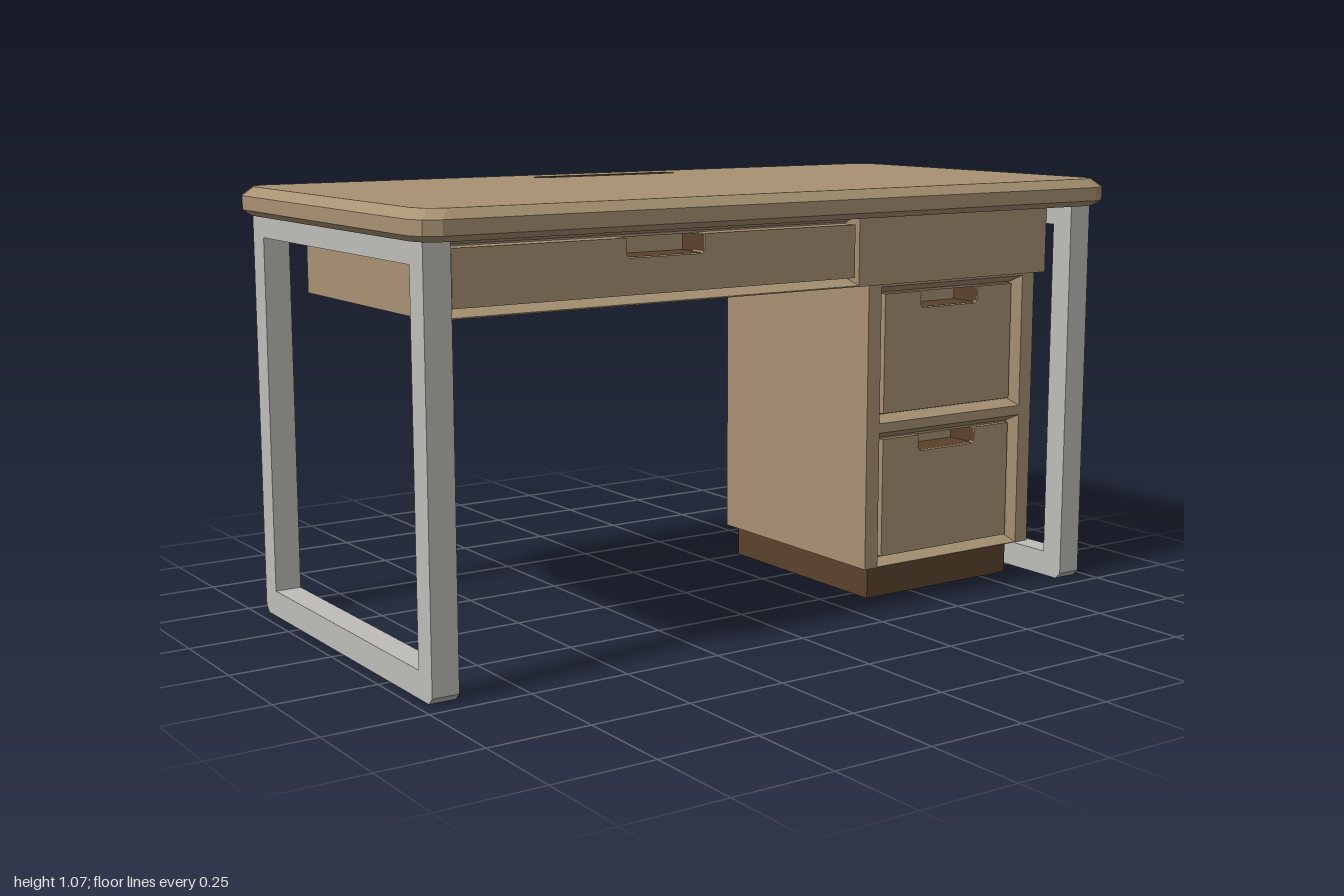
import * as THREE from 'three';

const wood = new THREE.MeshStandardMaterial({ color: 0xa89273 });
wood.name = 'light wood';
const brown = new THREE.MeshStandardMaterial({ color: 0x5a422b });
brown.name = 'dark brown';
const metal = new THREE.MeshStandardMaterial({ color: 0xbebdb9 });
metal.name = 'grey metal';

function add(parent, name, geometry, material) {
  const mesh = new THREE.Mesh(geometry, material);
  mesh.name = name;
  parent.add(mesh);
  return mesh;
}

// Box given by its limits on each axis
function box(x0, x1, y0, y1, z0, z1) {
  return new THREE.BoxGeometry(x1 - x0, y1 - y0, z1 - z0)
    .translate((x0 + x1) / 2, (y0 + y1) / 2, (z0 + z1) / 2);
}

// Counter-clockwise rectangle outline, optionally with rounded corners
function outline(x0, x1, y0, y1, r = 0, n = 0) {
  const pts = [];
  const centres = [[x1 - r, y1 - r], [x0 + r, y1 - r], [x0 + r, y0 + r], [x1 - r, y0 + r]];
  centres.forEach(([cx, cy], q) => {
    for (let i = 0; i <= n; i++) {
      const a = (q + (n ? i / n : 0)) * Math.PI / 2;
      pts.push(new THREE.Vector2(cx + r * Math.cos(a), cy + r * Math.sin(a)));
    }
  });
  return pts;
}

// Flat-faced wall joining outlines placed at successive z values
function loft(levels) {
  const pos = [];
  for (let k = 0; k + 1 < levels.length; k++) {
    const [a, za] = levels[k], [b, zb] = levels[k + 1];
    a.forEach((p, i) => {
      const j = (i + 1) % a.length;
      pos.push(p.x, p.y, za, a[j].x, a[j].y, za, b[j].x, b[j].y, zb);
      pos.push(p.x, p.y, za, b[j].x, b[j].y, zb, b[i].x, b[i].y, zb);
    });
  }
  const g = new THREE.BufferGeometry();
  g.setAttribute('position', new THREE.Float32BufferAttribute(pos, 3));
  g.computeVertexNormals();
  return g;
}

// Flat sheet facing +z with holes
function sheet(pts, holes, z) {
  const shape = new THREE.Shape(pts);
  holes.forEach(h => shape.holes.push(new THREE.Path(h)));
  return new THREE.ShapeGeometry(shape).translate(0, 0, z);
}

// Bevelled top with a cable slot
function makeDesktop() {
  const group = new THREE.Group();
  group.name = 'desktop';
  const ring = d => outline(-1 + d, 1 - d, -0.5 + d, 0.5 - d, 0.055, 2);
  const slot = s => outline(-0.217, 0.213, s > 0 ? 0.355 : -0.405, s > 0 ? 0.405 : -0.355, 0.018, 3);
  const up = g => g.rotateX(-Math.PI / 2);
  add(group, 'desktopEdge', up(loft([[ring(0.016), 1], [ring(0), 1.014], [ring(0), 1.048], [ring(0.022), 1.07]])), wood);
  add(group, 'desktopSurface', up(sheet(ring(0.022), [slot(1)], 1.07)), wood);
  add(group, 'desktopUnderside', up(sheet(ring(0.016), [slot(-1)], -1).rotateX(Math.PI)), wood);
  add(group, 'cableSlot', up(loft([[slot(1), 1.07], [slot(1), 1]])), brown);
  return group;
}

// Recessed drawer with a notched pull; o = opening, n = notch limits
function addDrawer(group, o, inset, n, z, panelZ) {
  const floorZ = z - 0.03, backZ = panelZ - 0.09;
  const inner = [o[0] + inset, o[1] - inset, o[2] + inset, o[3] - inset];
  const e = 0.008, t = 0.002;
  const [x0, x1, y0, y1] = [inner[0] + e, inner[1] - e, inner[2] + e * 0.5, inner[3] - e * 0.5];
  const pocket = outline(n[0] + t, n[1] - t, n[2] + t, y1 - t);
  add(group, 'drawerRecess', loft([[outline(...o), z], [outline(...inner), floorZ]]), wood);
  add(group, 'recessFloor', sheet(outline(...inner), [pocket], floorZ), wood);

  // Front panel cut out for the pull
  const c = 0.008;
  const panel = new THREE.Shape([
    [x0, y0], [x1, y0], [x1, y1], [n[1], y1], [n[1], n[2] + c], [n[1] - c, n[2]],
    [n[0] + c, n[2]], [n[0], n[2] + c], [n[0], y1], [x0, y1],
  ].map(p => new THREE.Vector2(...p)));
  add(group, 'drawerFront', new THREE.ExtrudeGeometry(panel, { depth: panelZ - floorZ, bevelEnabled: false })
    .translate(0, 0, floorZ), wood);
  add(group, 'pullPocket', loft([[pocket, panelZ - 0.001], [pocket, backZ]]), brown);
  add(group, 'pullPocketBack', sheet(pocket, [], backZ), wood);
}

// Closed case whose front is cut for its drawers
function makeCase(name, x0, x1, y0, y1, z0, z1, drawers, inset, panelZ) {
  const group = new THREE.Group();
  group.name = name;
  const shell = box(x0, x1, y0, y1, z0, z1);
  const index = Array.from(shell.index.array);
  index.splice(24, 6); // leave out the front side
  shell.setIndex(index);
  shell.clearGroups();
  add(group, name + 'Shell', shell, wood);
  add(group, name + 'Front', sheet(outline(x0, x1, y0, y1), drawers.map(d => outline(...d.opening)), z1), wood);
  drawers.forEach(d => addDrawer(group, d.opening, inset, d.notch, z1, panelZ));
  return group;
}

// Closed rectangular leg loop with chamfered lower corners
function makeLegFrame(side) {
  const c = 0.016, w = 0.455;
  const shape = new THREE.Shape([
    [-w + c, 0], [w - c, 0], [w, c], [w, 1], [-w, 1], [-w, c],
  ].map(p => new THREE.Vector2(...p)));
  shape.holes.push(new THREE.Path(outline(-0.392, 0.392, 0.065, 0.948)));
  const g = new THREE.ExtrudeGeometry(shape, { depth: 0.066, bevelEnabled: false })
    .translate(0, 0, -0.033).rotateY(-Math.PI / 2).translate(side * 0.937, 0, 0);
  return new THREE.Mesh(g, metal);
}

export function createModel() {
  const model = new THREE.Group();
  model.name = 'desk';
  model.add(makeDesktop());

  // Wide drawer case under the top
  model.add(makeCase('apron', -0.905, 0.904, 0.82, 1, -0.285, 0.365,
    [{ opening: [-0.89, 0.27, 0.823, 0.998], notch: [-0.42, -0.205, 0.93] }], 0.018, 0.38));

  // Two-drawer pedestal on a plinth
  const rows = [0.092, 0.465].map(y => ({
    opening: [0.356, 0.838, y, y + 0.348], notch: [0.5, 0.694, y + 0.284],
  }));
  model.add(makeCase('pedestal', 0.315, 0.88, 0.09, 0.82, -0.255, 0.35, rows, 0.017, 0.335));
  add(model, 'plinth', box(0.356, 0.838, 0, 0.09, -0.255, 0.31), brown);

  for (const side of [-1, 1]) {
    const frame = makeLegFrame(side);
    frame.name = side > 0 ? 'leftLegFrame' : 'rightLegFrame';
    model.add(frame);
  }
  return model;
}
